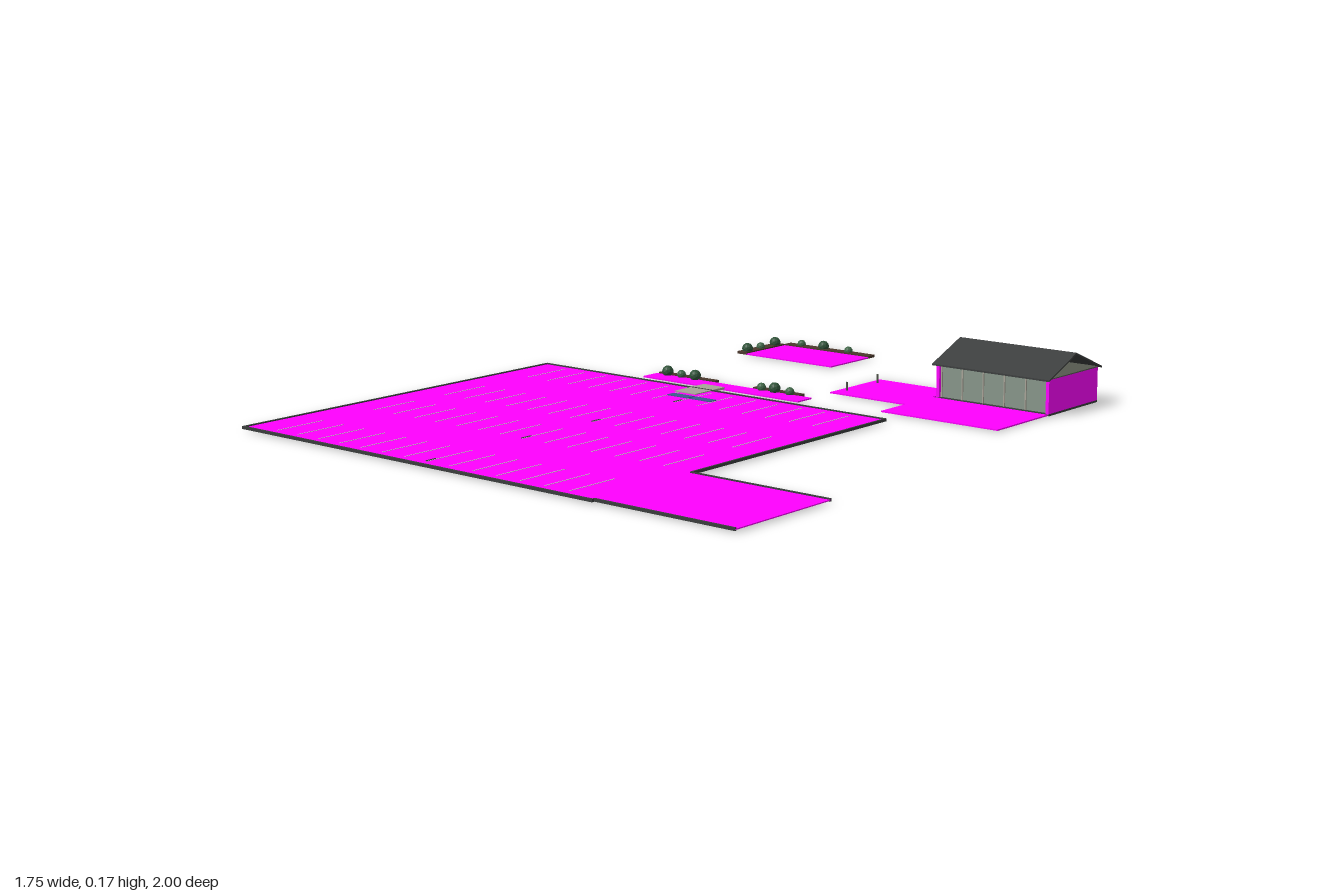
import * as THREE from 'three';

const mat = (color, extra = {}) => new THREE.MeshStandardMaterial({ color, ...extra });

export function createModel() {
  const root = new THREE.Group();
  const paving = mat(0xff00ff), asphalt = mat(0x3a3d3c), concrete = mat(0xa8a498);
  const paint = mat(0xe4e4e4), blue = mat(0x3d5c8c), roofMat = mat(0x3c3e3e);
  const glassMat = mat(0x87968a), frameMat = mat(0x55594f), soil = mat(0x4b382c);
  const leaves = [0x2f5238, 0x3f6647].map(c => mat(c, { flatShading: true }));

  const group = name => {
    const g = new THREE.Group();
    g.name = name;
    root.add(g);
    return g;
  };
  // Box given by its limits on each axis
  const box = (parent, name, material, x0, x1, y0, y1, z0, z1) => {
    const m = new THREE.Mesh(new THREE.BoxGeometry(x1 - x0, y1 - y0, z1 - z0), material);
    m.position.set((x0 + x1) / 2, (y0 + y1) / 2, (z0 + z1) / 2);
    m.name = name;
    parent.add(m);
    return m;
  };

  // Parking lot with its side driveway
  const lot = group('parkingLot');
  box(lot, 'lotSurface', paving, -0.87, 0.43, 0.004, 0.007, -0.22, 0.99);
  box(lot, 'driveway', paving, 0.43, 0.875, 0.004, 0.007, 0.62, 0.985);
  const curbs = [
    [-0.875, -0.868, -0.222, 0.995], [-0.875, 0.435, -0.224, -0.217],
    [-0.875, 0.435, 0.988, 0.995], [0.429, 0.435, -0.222, 0.62],
    [0.43, 0.875, 0.616, 0.622], [0.43, 0.875, 0.98, 0.986],
  ];
  for (const [x0, x1, z0, z1] of curbs) box(lot, 'curb', asphalt, x0, x1, 0.002, 0.01, z0, z1);

  // Stall lines in four rows, with a short dark end mark on the middle line
  for (const [z0, z1] of [[-0.19, -0.025], [0.16, 0.325], [0.445, 0.605], [0.795, 0.96]]) {
    for (let i = 0; i < 14; i++) {
      const x = -0.767 + i * 0.0842;
      box(lot, 'stallLine', paint, x - 0.0015, x + 0.0015, 0.007, 0.008, z0, z1);
    }
    box(lot, 'stallMark', asphalt, -0.183, -0.178, 0.007, 0.009, z1 - 0.035, z1);
  }
  for (const x of [-0.263, -0.178])
    box(lot, 'reservedStall', blue, x, x + 0.079, 0.007, 0.009, -0.122, -0.09);

  // Entrance strip and ramp
  const strip = group('entranceStrip');
  box(strip, 'stripPaving', paving, -0.52, 0.08, 0, 0.004, -0.342, -0.277);
  box(strip, 'ramp', concrete, -0.28, -0.2, 0.003, 0.0095, -0.28, -0.145);
  box(strip, 'planterLeft', soil, -0.14, 0.04, 0, 0.008, -0.36, -0.341);
  box(strip, 'planterRight', soil, -0.512, -0.287, 0, 0.008, -0.36, -0.341);

  // Patio framed by two planting beds
  const patio = group('patio');
  box(patio, 'patioPaving', paving, -0.512, -0.172, 0, 0.004, -0.97, -0.77);
  box(patio, 'backBed', soil, -0.512, -0.172, 0, 0.008, -1, -0.968);
  box(patio, 'sideBed', soil, -0.55, -0.512, 0, 0.008, -0.968, -0.77);

  // Bushes: x, z, radius
  const bush = new THREE.IcosahedronGeometry(1, 1);
  const bushes = group('bushes');
  [
    [-0.475, -0.34, 0.018], [-0.42, -0.34, 0.014], [-0.365, -0.34, 0.018],
    [-0.107, -0.34, 0.014], [-0.057, -0.34, 0.018], [0, -0.34, 0.014],
    [-0.455, -0.985, 0.014], [-0.365, -0.985, 0.018], [-0.265, -0.985, 0.014],
    [-0.53, -0.94, 0.018], [-0.53, -0.865, 0.014], [-0.53, -0.797, 0.018],
  ].forEach(([x, z, r]) => {
    const m = new THREE.Mesh(bush, leaves[r > 0.016 ? 0 : 1]);
    m.name = 'bush';
    m.scale.setScalar(r);
    m.position.set(x, r * 0.85, z);
    bushes.add(m);
  });

  // Forecourt and side court with two posts
  const court = group('forecourt');
  box(court, 'frontPaving', paving, 0.345, 0.74, 0, 0.004, -0.578, -0.322);
  box(court, 'sidePaving', paving, 0.07, 0.345, 0, 0.004, -0.695, -0.445);
  for (const z of [-0.648, -0.494]) {
    const post = new THREE.Mesh(new THREE.CylinderGeometry(0.003, 0.003, 0.026, 8), frameMat);
    post.name = 'post';
    post.position.set(0.095, 0.017, z);
    court.add(post);
  }

  // Pavilion: three walls and a glazed front
  const house = group('pavilion');
  box(house, 'floor', asphalt, 0.36, 0.745, 0, 0.006, -0.838, -0.578);
  box(house, 'leftWall', paving, 0.735, 0.745, 0.006, 0.105, -0.838, -0.575);
  box(house, 'rightWall', paving, 0.36, 0.37, 0.006, 0.105, -0.838, -0.575);
  box(house, 'backWall', paving, 0.37, 0.735, 0.006, 0.105, -0.838, -0.828);
  box(house, 'ceiling', frameMat, 0.36, 0.745, 0.103, 0.107, -0.838, -0.575);
  box(house, 'glassFront', glassMat, 0.37, 0.735, 0.006, 0.103, -0.592, -0.588);
  for (let i = 0; i <= 5; i++) {
    const x = 0.372 + i * 0.0722;
    box(house, 'mullion', concrete, x - 0.002, x + 0.002, 0.006, 0.103, -0.594, -0.584);
  }

  // Thin folded roof, open at both gables
  const profile = new THREE.Shape([
    [0.143, 0.107], [0, 0.166], [-0.143, 0.107], [-0.143, 0.102], [0, 0.161], [0.143, 0.102],
  ].map(([x, y]) => new THREE.Vector2(x, y)));
  const roof = new THREE.Mesh(
    new THREE.ExtrudeGeometry(profile, { depth: 0.4, bevelEnabled: false }), roofMat);
  roof.name = 'roof';
  roof.rotation.y = Math.PI / 2;
  roof.position.set(0.353, 0, -0.705);
  house.add(roof);

  return root;
}
